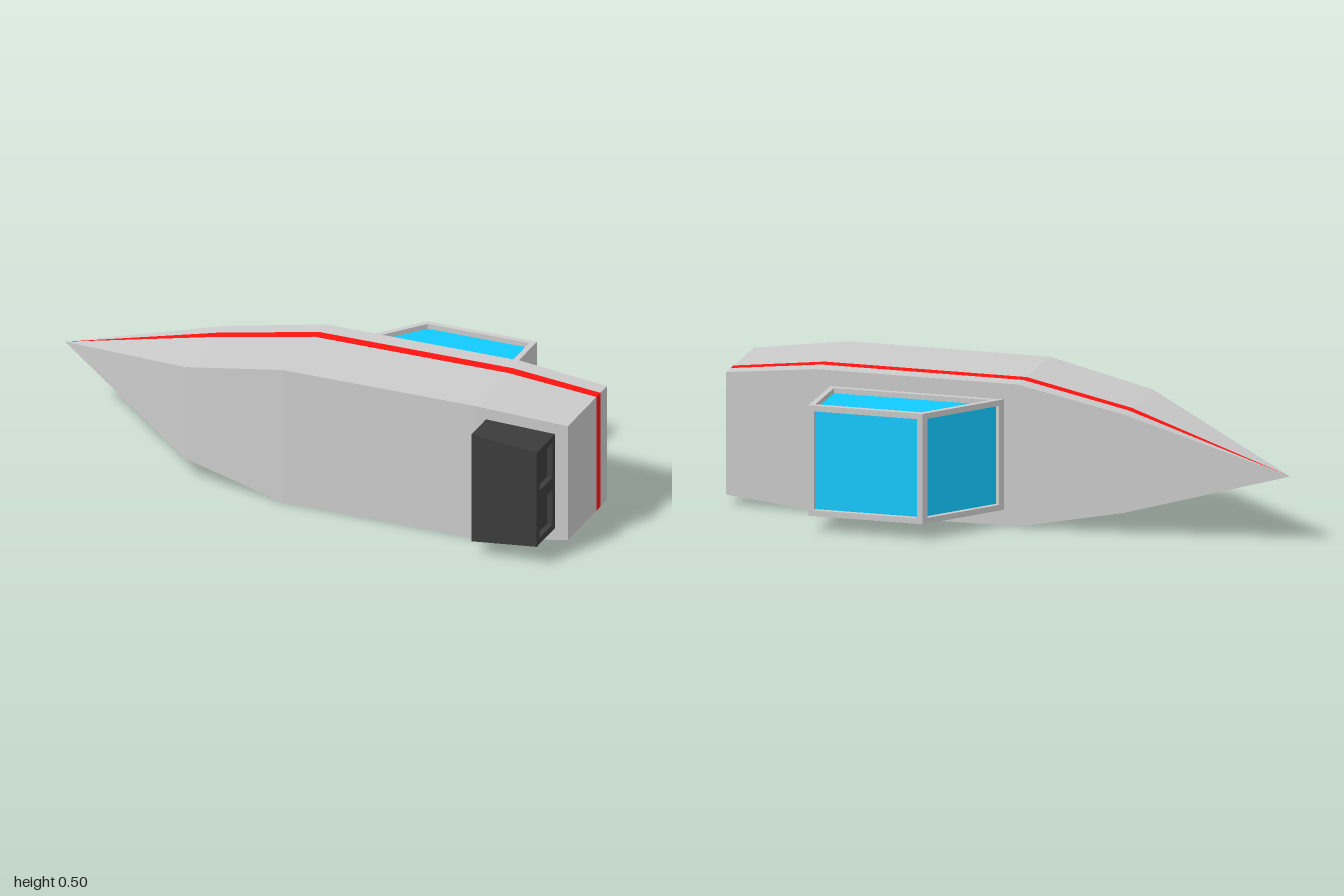
import * as THREE from 'three';

const GREY = 0xcccccc, RED = 0xff1410, BLUE = 0x11caff, DARK = 0x3c3c3c;
const V = (x, y, z) => new THREE.Vector3(x, y, z);

// Flat-shaded mesh from a list of convex polygons (counter-clockwise from outside)
function polyMesh(name, polys, color) {
  const pos = [];
  for (const p of polys) {
    for (let i = 1; i < p.length - 1; i++) {
      const tri = new THREE.Triangle(p[0], p[i], p[i + 1]);
      if (tri.getArea() < 1e-9) continue;
      for (const v of [tri.a, tri.b, tri.c]) pos.push(v.x, v.y, v.z);
    }
  }
  const geo = new THREE.BufferGeometry();
  geo.setAttribute('position', new THREE.Float32BufferAttribute(pos, 3));
  geo.computeVertexNormals();
  const mesh = new THREE.Mesh(geo, new THREE.MeshStandardMaterial({ color, flatShading: true }));
  mesh.name = name;
  return mesh;
}

// Splits a face into a border with recess walls (frame) and a sunken pane
function insetPanel(face, border, depth) {
  const n = face.length;
  const edge = i => face[(i + 1) % n].clone().sub(face[i]).normalize();
  const normal = edge(0).cross(edge(1)).normalize();
  const inner = face.map((p, i) => {
    const a = edge((i + n - 1) % n), b = edge(i);
    const s = a.clone().cross(b).length();
    return b.sub(a).multiplyScalar(border / s).add(p);
  });
  const pane = inner.map(p => p.clone().addScaledVector(normal, -depth));
  const frame = [];
  for (let i = 0; i < n; i++) {
    const j = (i + 1) % n;
    frame.push([face[i], face[j], inner[j], inner[i]], [inner[i], inner[j], pane[j], pane[i]]);
  }
  return { frame, pane };
}

// Hull lofted along x, with a stripe band on both sides and the stern
function makeHull() {
  const group = new THREE.Group();
  group.name = 'hull';
  const deckZ = -0.12, midY = 0.25;
  const stations = [ // x, half beam, keel z
    [-1, 0, deckZ], [-0.41, 0.173, 0.227], [-0.035, 0.25, 0.263], [0.68, 0.25, 0.263], [1, 0.215, 0.218],
  ];
  const bands = [0, 0.165, 0.27, 1];
  const rings = stations.map(([x, half, keel]) => {
    const side = s => bands.map(f => V(x, midY + s * half, deckZ + f * (keel - deckZ)));
    return [...side(1), ...side(-1).reverse()];
  });
  const body = [], stripe = [];
  for (let s = 0; s < rings.length - 1; s++) {
    const A = rings[s], B = rings[s + 1];
    for (let i = 0; i < 8; i++) {
      const j = (i + 1) % 8;
      (i === 1 || i === 5 ? stripe : body).push([A[i], A[j], B[j], B[i]]);
    }
  }
  const P = rings[rings.length - 1];
  for (let k = 0; k < 3; k++) {
    (k === 1 ? stripe : body).push([P[k], P[k + 1], P[6 - k], P[7 - k]]);
  }
  group.add(polyMesh('hullBody', body, GREY), polyMesh('hullStripe', stripe, RED));
  return group;
}

// Cabin with sunken windows on both sides, roof and windshield
function makeCabin() {
  const group = new THREE.Group();
  group.name = 'cabin';
  const profile = [[0.015, -0.12], [0.225, -0.383], [0.63, -0.383], [0.63, -0.12]];
  const [a0, b0, c0, d0] = profile.map(([x, z]) => V(x, 0.056, z));
  const [a1, b1, c1, d1] = profile.map(([x, z]) => V(x, 0.444, z));
  const windows = {
    upperSideWindow: [a1, d1, c1, b1],
    lowerSideWindow: [a0, b0, c0, d0],
    roofWindow: [b1, c1, c0, b0],
    windshield: [a1, b1, b0, a0],
  };
  const shell = [[c1, d1, d0, c0]];
  for (const [name, face] of Object.entries(windows)) {
    const { frame, pane } = insetPanel(face, 0.02, 0.018);
    shell.push(...frame);
    group.add(polyMesh(name, [pane], BLUE));
  }
  group.add(polyMesh('cabinFrame', shell, GREY));
  return group;
}

// Tapered engine block under the stern with two recessed outlets
function makeEngine() {
  const group = new THREE.Group();
  group.name = 'engine';
  const z0 = 0.222, z1 = 0.383, mid = 0.2525;
  const corners = (x, lo, hi) => ({ l0: V(x, lo, z0), l1: V(x, lo, z1), h0: V(x, hi, z0), h1: V(x, hi, z1) });
  const F = corners(0.715, 0.05, 0.455), R = corners(0.955, 0.075, 0.43);
  const m0 = V(0.955, mid, z0), m1 = V(0.955, mid, z1);
  const body = [
    [F.l1, R.l1, R.h1, F.h1],
    [F.l0, F.l1, F.h1, F.h0],
    [F.h0, F.h1, R.h1, R.h0],
    [F.l0, R.l0, R.l1, F.l1],
  ];
  for (const face of [[R.l0, m0, m1, R.l1], [m0, R.h0, R.h1, m1]]) {
    const { frame, pane } = insetPanel(face, 0.023, 0.02);
    body.push(...frame);
    group.add(polyMesh('engineOutlet', [pane], DARK));
  }
  group.add(polyMesh('engineBody', body, DARK));
  return group;
}

export function createModel() {
  const model = new THREE.Group();
  model.name = 'speedboat';
  model.add(makeHull(), makeCabin(), makeEngine());
  return model;
}
